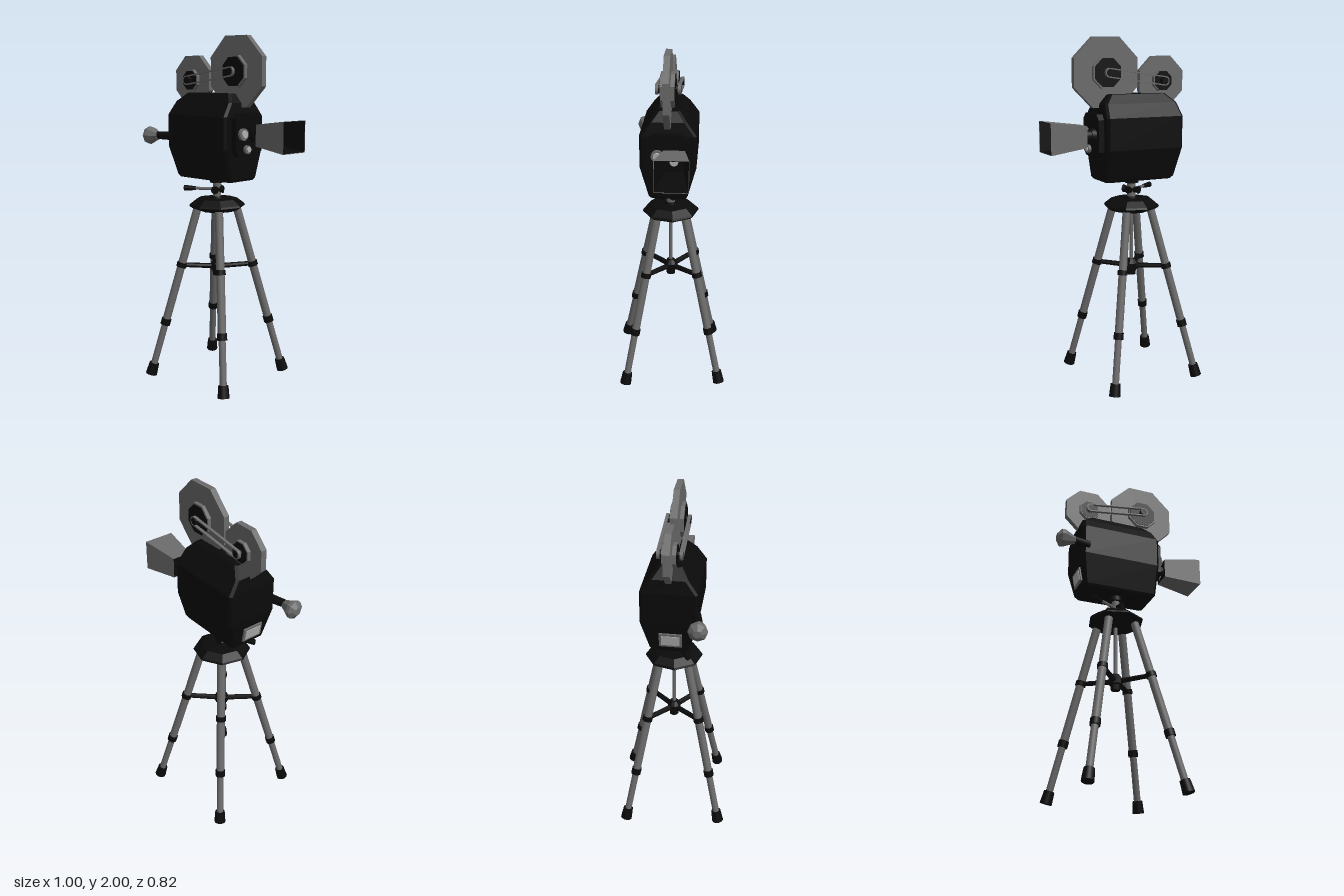
import * as THREE from 'three';

const mat = (color, flatShading = true, side = THREE.FrontSide) =>
  new THREE.MeshStandardMaterial({ color, flatShading, side });
const BLACK = mat(0x0a0a0a), GREY = mat(0x6a6a6a), LIGHT = mat(0xb0b0b0);
const SMOOTH_BLACK = mat(0x0a0a0a, false), SMOOTH_GREY = mat(0x6a6a6a, false);
const OPEN_GREY = mat(0x6a6a6a, true, THREE.DoubleSide), OPEN_BLACK = mat(0x0a0a0a, true, THREE.DoubleSide);
const V = (x, y, z) => new THREE.Vector3(x, y, z);
const points = (list) => list.map((p) => new THREE.Vector2(...p));

function add(parent, name, geo, material, x = 0, y = 0, z = 0) {
  const m = new THREE.Mesh(geo, material);
  m.name = name;
  m.position.set(x, y, z);
  parent.add(m);
  return m;
}

// Straight round bar from a to b
function rod(parent, name, a, b, ra, rb, material, sides = 12) {
  const d = b.clone().sub(a);
  const m = add(parent, name, new THREE.CylinderGeometry(rb, ra, d.length(), sides), material);
  m.position.copy(a).addScaledVector(d, 0.5);
  m.quaternion.setFromUnitVectors(V(0, 1, 0), d.normalize());
  return m;
}

// Octagonal disc facing sideways, flat edge on top
function octDisc(parent, name, apothem, depth, material, x, y) {
  const r = apothem / Math.cos(Math.PI / 8);
  const g = new THREE.CylinderGeometry(r, r, depth, 8);
  g.rotateY(Math.PI / 8).rotateX(Math.PI / 2);
  return add(parent, name, g, material, x, y, 0);
}

// Square funnel along x, open at both ends
function funnel(h0, w0, h1, w1, len) {
  const g = new THREE.CylinderGeometry(1, 1, len, 4, 1, true);
  g.rotateY(Math.PI / 4).rotateZ(-Math.PI / 2);
  const p = g.attributes.position;
  for (let i = 0; i < p.count; i++) {
    const front = p.getX(i) > 0;
    p.setY(i, Math.sign(p.getY(i)) * (front ? h1 : h0));
    p.setZ(i, Math.sign(p.getZ(i)) * (front ? w1 : w0));
  }
  g.computeVertexNormals();
  return g;
}

// Closed solid from stacked levels [y, x0, x1, half width], each a rectangle with cut corners
function stackedBox(levels, c) {
  const pos = [], index = [], n = 8;
  for (const [y, x0, x1, w] of levels) {
    pos.push(x1, y, c - w, x1, y, w - c, x1 - c, y, w, x0 + c, y, w);
    pos.push(x0, y, w - c, x0, y, c - w, x0 + c, y, -w, x1 - c, y, -w);
  }
  const top = (levels.length - 1) * n;
  for (let k = 0; k < top; k += n) {
    for (let i = 0; i < n; i++) {
      const a = k + i, b = k + (i + 1) % n;
      index.push(a, a + n, b, b, a + n, b + n);
    }
  }
  for (let i = 1; i < n - 1; i++) index.push(0, i, i + 1, top, top + i + 1, top + i);
  const indexed = new THREE.BufferGeometry();
  indexed.setAttribute('position', new THREE.Float32BufferAttribute(pos, 3));
  indexed.setIndex(index);
  const g = indexed.toNonIndexed();
  g.computeVertexNormals();
  return g;
}

// Flat band looped around two wheels a distance len apart
function beltLoop(len, r, thickness, width) {
  const trace = (path, radius) => {
    path.absarc(len, 0, radius, -Math.PI / 2, Math.PI / 2);
    path.absarc(0, 0, radius, Math.PI / 2, Math.PI * 1.5);
    return path.closePath();
  };
  const shape = trace(new THREE.Shape(), r);
  shape.holes.push(trace(new THREE.Path(), r - thickness));
  return new THREE.ExtrudeGeometry(shape, { depth: width, bevelEnabled: false, curveSegments: 8 }).translate(0, 0, -width / 2);
}

function buildTripod() {
  const tripod = new THREE.Group();
  tripod.name = 'tripod';
  tripod.position.x = 0.003;
  const at = (y) => V(0.118 + (1.01 - y) * 0.282, y, 0);
  for (let i = 0; i < 4; i++) {
    const leg = new THREE.Group();
    leg.name = 'leg';
    leg.rotation.y = THREE.MathUtils.degToRad(20 + 90 * i);
    rod(leg, 'upperLeg', at(0.335), at(1.04), 0.024, 0.024, SMOOTH_GREY);
    rod(leg, 'lowerLeg', at(0.05), at(0.335), 0.02, 0.02, SMOOTH_GREY);
    rod(leg, 'legCollar', at(0.315), at(0.353), 0.029, 0.029, SMOOTH_BLACK);
    rod(leg, 'spreaderCollar', at(0.667), at(0.695), 0.03, 0.03, SMOOTH_BLACK);
    rod(leg, 'foot', at(0.007), at(0.075), 0.034, 0.029, SMOOTH_BLACK);
    rod(leg, 'spreaderBar', V(0, 0.668, 0), at(0.68), 0.016, 0.014, BLACK, 8);
    tripod.add(leg);
  }
  // Centre column and spreader hub
  rod(tripod, 'centreColumn', V(0, 0.65, 0), V(0, 1.05, 0), 0.011, 0.011, SMOOTH_GREY);
  const hub = [[0, 0.615], [0.026, 0.615], [0.028, 0.645], [0.04, 0.65], [0.04, 0.685], [0.022, 0.71], [0, 0.71]];
  add(tripod, 'spreaderHub', new THREE.LatheGeometry(points(hub), 10), BLACK);
  // Octagonal head plate
  const head = [[0, 1.0], [0.105, 1.005], [0.145, 1.02], [0.165, 1.035], [0.16, 1.045], [0.118, 1.077], [0, 1.08]];
  add(tripod, 'headPlate', new THREE.LatheGeometry(points(head), 8), BLACK).rotation.y = Math.PI / 8;
  // Pan head with clamp and handle
  rod(tripod, 'headBase', V(0, 1.075, 0), V(0, 1.09, 0), 0.036, 0.032, SMOOTH_BLACK);
  rod(tripod, 'headStem', V(0, 1.08, 0), V(0, 1.19, 0), 0.024, 0.024, SMOOTH_GREY);
  rod(tripod, 'headClamp', V(0, 1.13, -0.035), V(0, 1.13, 0.035), 0.018, 0.018, SMOOTH_BLACK);
  for (const s of [-1, 1]) {
    rod(tripod, 'clampKnob', V(0, 1.13, s * 0.03), V(0, 1.13, s * 0.053), 0.016, 0.024, BLACK, 8);
  }
  rod(tripod, 'clampPin', V(0.038, 1.13, 0), V(0, 1.13, 0), 0.022, 0.018, BLACK, 8);
  rod(tripod, 'handleRod', V(0, 1.13, 0), V(-0.14, 1.13, 0), 0.009, 0.009, SMOOTH_GREY, 8);
  rod(tripod, 'handleGrip', V(-0.13, 1.13, 0), V(-0.2, 1.13, 0), 0.012, 0.017, BLACK, 8);
  return tripod;
}

function buildCamera() {
  const camera = new THREE.Group();
  camera.name = 'camera';
  camera.rotation.y = -Math.PI / 6;

  // Body, narrowing to the top and the base
  const levels = [
    [1.195, -0.21, 0.205, 0.1],
    [1.21, -0.225, 0.216, 0.108],
    [1.38, -0.255, 0.222, 0.155],
    [1.56, -0.255, 0.222, 0.155],
    [1.635, -0.242, 0.21, 0.102],
    [1.685, -0.185, 0.165, 0.062],
  ];
  add(camera, 'body', stackedBox(levels, 0.014), BLACK);
  rod(camera, 'mountPlate', V(0, 1.17, 0), V(0, 1.2, 0), 0.04, 0.04, SMOOTH_BLACK);

  // Rear display window on the sloping lower back
  const display = new THREE.Group();
  display.name = 'rearDisplay';
  display.position.set(-0.237, 1.28, 0.01);
  display.rotation.z = 0.17;
  add(display, 'windowFrame', new THREE.BoxGeometry(0.02, 0.085, 0.125), GREY);
  add(display, 'windowPane', new THREE.BoxGeometry(0.02, 0.06, 0.1), LIGHT, -0.003);
  camera.add(display);

  // Front lens plate with cut corners
  const w = 0.105, h = 0.12, c = 0.03;
  const outline = [[-w + c, -h], [w - c, -h], [w, -h + c], [w, h - c], [w - c, h], [-w + c, h], [-w, h - c], [-w, -h + c]];
  const lensPlate = new THREE.ExtrudeGeometry(new THREE.Shape(points(outline)), { depth: 0.055, bevelEnabled: false });
  lensPlate.rotateY(Math.PI / 2);
  add(camera, 'lensPlate', lensPlate, BLACK, 0.2, 1.46, 0);

  // Two small lenses
  for (const [y, z, r] of [[1.465, 0.055, 0.034], [1.38, 0.022, 0.024]]) {
    rod(camera, 'smallLensRing', V(0.24, y, z), V(0.272, y, z), r, r, SMOOTH_GREY);
    rod(camera, 'smallLensGlass', V(0.26, y, z), V(0.28, y, z), r * 0.75, r * 0.6, LIGHT);
  }

  // Main lens and square hood
  const lensY = 1.46, lensZ = -0.04;
  rod(camera, 'lensBarrel', V(0.23, lensY, lensZ), V(0.28, lensY, lensZ), 0.046, 0.04, SMOOTH_BLACK);
  rod(camera, 'lensNeck', V(0.27, lensY, lensZ), V(0.335, lensY, lensZ), 0.033, 0.033, SMOOTH_BLACK);
  rod(camera, 'lensGlass', V(0.325, lensY, lensZ), V(0.34, lensY, lensZ), 0.027, 0.022, LIGHT);
  add(camera, 'hood', funnel(0.06, 0.057, 0.087, 0.09, 0.225), OPEN_GREY, 0.4325, lensY, lensZ);
  add(camera, 'hoodLining', funnel(0.056, 0.053, 0.084, 0.087, 0.223), OPEN_BLACK, 0.4335, lensY, lensZ);
  add(camera, 'hoodBack', new THREE.BoxGeometry(0.008, 0.116, 0.11), BLACK, 0.325, lensY, lensZ);

  // Viewfinder tube with bulbous eyepiece
  rod(camera, 'viewfinderTube', V(-0.22, 1.435, 0.145), V(-0.325, 1.435, 0.17), 0.025, 0.022, SMOOTH_BLACK);
  const cup = [[0, 0], [0.022, 0], [0.03, 0.02], [0.052, 0.066], [0.052, 0.086], [0.022, 0.108], [0, 0.108]];
  const eyepiece = new THREE.LatheGeometry(points(cup), 8);
  eyepiece.rotateZ(Math.PI / 2);
  add(camera, 'eyepiece', eyepiece, GREY, -0.312, 1.432, 0.17);

  // Film reels with hubs on both faces
  const reels = [{ x: 0.166, y: 1.805, r: 0.195, hub: 0.088 }, { x: -0.183, y: 1.755, r: 0.14, hub: 0.06 }];
  for (const { x, y, r, hub } of reels) {
    octDisc(camera, 'reel', r, 0.034, GREY, x, y);
    octDisc(camera, 'reelHub', hub, 0.076, GREY, x, y);
    octDisc(camera, 'reelHubFace', hub * 0.9, 0.081, BLACK, x, y);
    octDisc(camera, 'reelSpindle', 0.021, 0.136, BLACK, x, y);
  }
  // Drive belts around the spindles
  const dx = reels[0].x - reels[1].x, dy = reels[0].y - reels[1].y;
  for (const z of [-0.06, 0.06]) {
    const belt = add(camera, 'driveBelt', beltLoop(Math.hypot(dx, dy), 0.027, 0.007, 0.017), GREY, reels[1].x, reels[1].y, z);
    belt.rotation.z = Math.atan2(dy, dx);
  }
  return camera;
}

export function createModel() {
  const model = new THREE.Group();
  model.name = 'movieCameraOnTripod';
  const rig = new THREE.Group();
  rig.name = 'rig';
  rig.position.x = -0.037;
  rig.add(buildTripod(), buildCamera());
  model.add(rig);
  return model;
}
